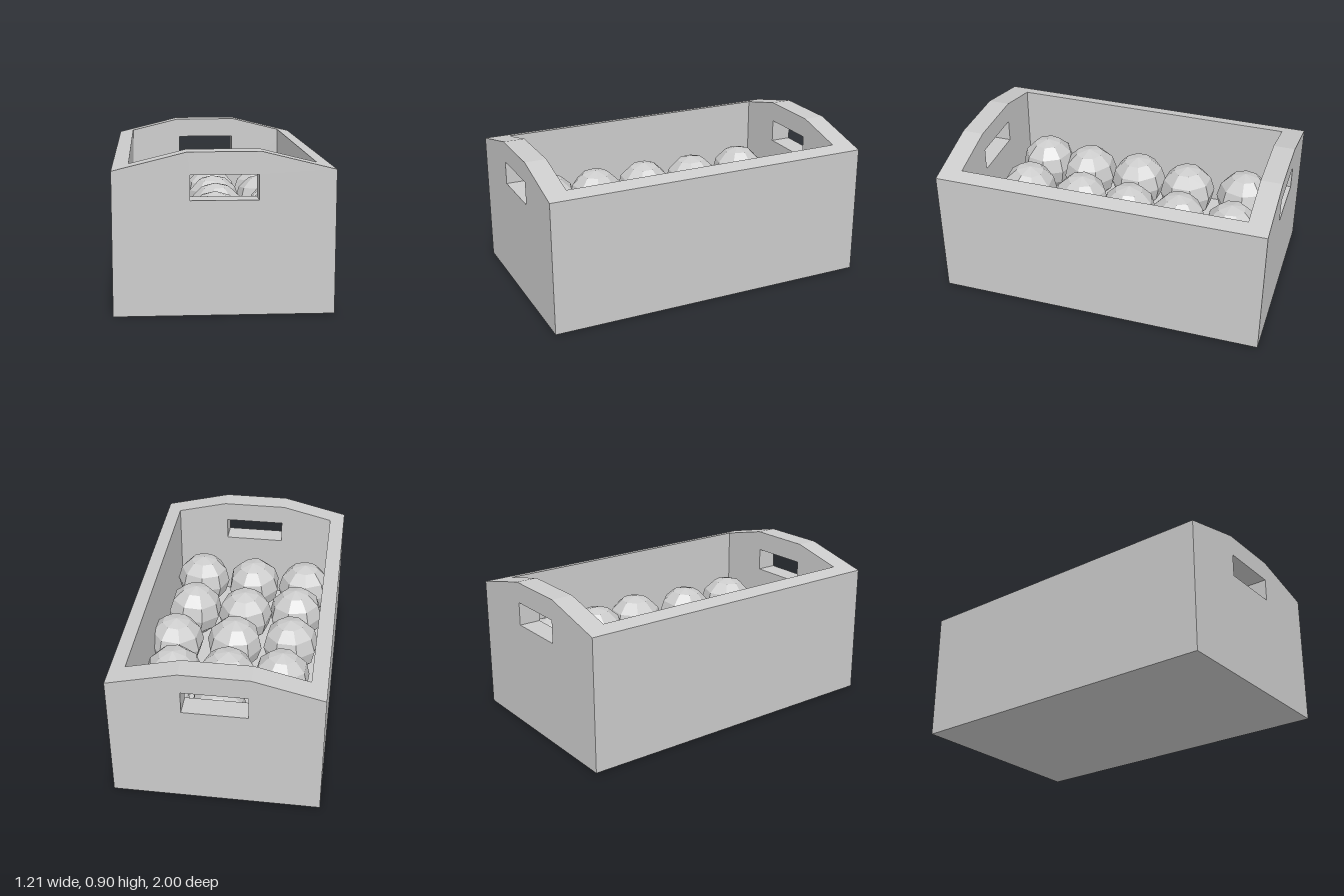
import * as THREE from 'three';

const material = new THREE.MeshStandardMaterial({ color: 0xcccccc, flatShading: true });

const HALF_W = 0.607, INNER_W = 0.515; // outer and inner half width
const HALF_L = 1, INNER_L = 0.87;      // outer and inner half length
const SIDE_H = 0.8, PEAK_H = 0.9, PEAK_W = 0.2;
const FLOOR_H = 0.22;

function addMesh(parent, name, geometry) {
  const mesh = new THREE.Mesh(geometry, material);
  mesh.name = name;
  parent.add(mesh);
  return mesh;
}

// Polygon in x-y, extruded from z0 by depth
function extrude(points, z0, depth, hole) {
  const shape = new THREE.Shape(points.map(([x, y]) => new THREE.Vector2(x, y)));
  if (hole) shape.holes.push(new THREE.Path(hole.map(([x, y]) => new THREE.Vector2(x, y))));
  return new THREE.ExtrudeGeometry(shape, { depth, bevelEnabled: false }).translate(0, 0, z0);
}

function createCrate() {
  const crate = new THREE.Group();
  crate.name = 'crate';

  // End panels with raised tops and handle slots
  const panel = [[-HALF_W, 0], [HALF_W, 0], [HALF_W, SIDE_H], [PEAK_W, PEAK_H], [-PEAK_W, PEAK_H], [-HALF_W, SIDE_H]];
  const slot = [[-0.187, 0.637], [-0.187, 0.776], [0.187, 0.776], [0.187, 0.637]];
  const thickness = HALF_L - INNER_L;
  addMesh(crate, 'frontPanel', extrude(panel, INNER_L, thickness, slot));
  addMesh(crate, 'backPanel', extrude(panel, -HALF_L, thickness, slot));

  // Side walls, whose tops follow the slope of the end panels
  const slope = (PEAK_H - SIDE_H) / (HALF_W - PEAK_W);
  const innerH = SIDE_H + slope * (HALF_W - INNER_W);
  for (const [name, s] of [['leftWall', 1], ['rightWall', -1]]) {
    const wall = [[s * INNER_W, 0], [s * HALF_W, 0], [s * HALF_W, SIDE_H], [s * INNER_W, innerH]];
    addMesh(crate, name, extrude(wall, -INNER_L, 2 * INNER_L));
  }

  // Thick floor
  addMesh(crate, 'floor', new THREE.BoxGeometry(2 * INNER_W, FLOOR_H, 2 * INNER_L).translate(0, FLOOR_H / 2, 0));
  return crate;
}

function createFruit() {
  const fruit = new THREE.Group();
  fruit.name = 'fruit';
  const geometry = new THREE.SphereGeometry(0.177, 8, 6);

  // Loose rows of three: [x, z, turn]
  const layout = [
    [-0.336, -0.69, 0.1], [0.024, -0.69, 0.5], [0.353, -0.695, 0.25],
    [-0.31, -0.32, 0.35], [0.022, -0.345, 0.1], [0.347, -0.365, 0.6],
    [-0.336, 0.02, 0.3], [0.02, -0.02, 0.65], [0.393, -0.037, 0.3],
    [-0.34, 0.36, 0.55], [-0.008, 0.31, 0.15], [0.33, 0.33, 0.4],
    [-0.372, 0.67, 0.1], [-0.025, 0.675, 0.45], [0.33, 0.695, 0.05],
  ];
  layout.forEach(([x, z, turn], i) => {
    const ball = addMesh(fruit, `fruit${i + 1}`, geometry);
    ball.position.set(x, 0.395, z);
    ball.rotation.set(0.06 * Math.sin(i * 2.3), turn, 0.06 * Math.cos(i * 1.7));
  });
  return fruit;
}

export function createModel() {
  const model = new THREE.Group();
  model.name = 'fruitCrate';
  model.add(createCrate(), createFruit());
  return model;
}
